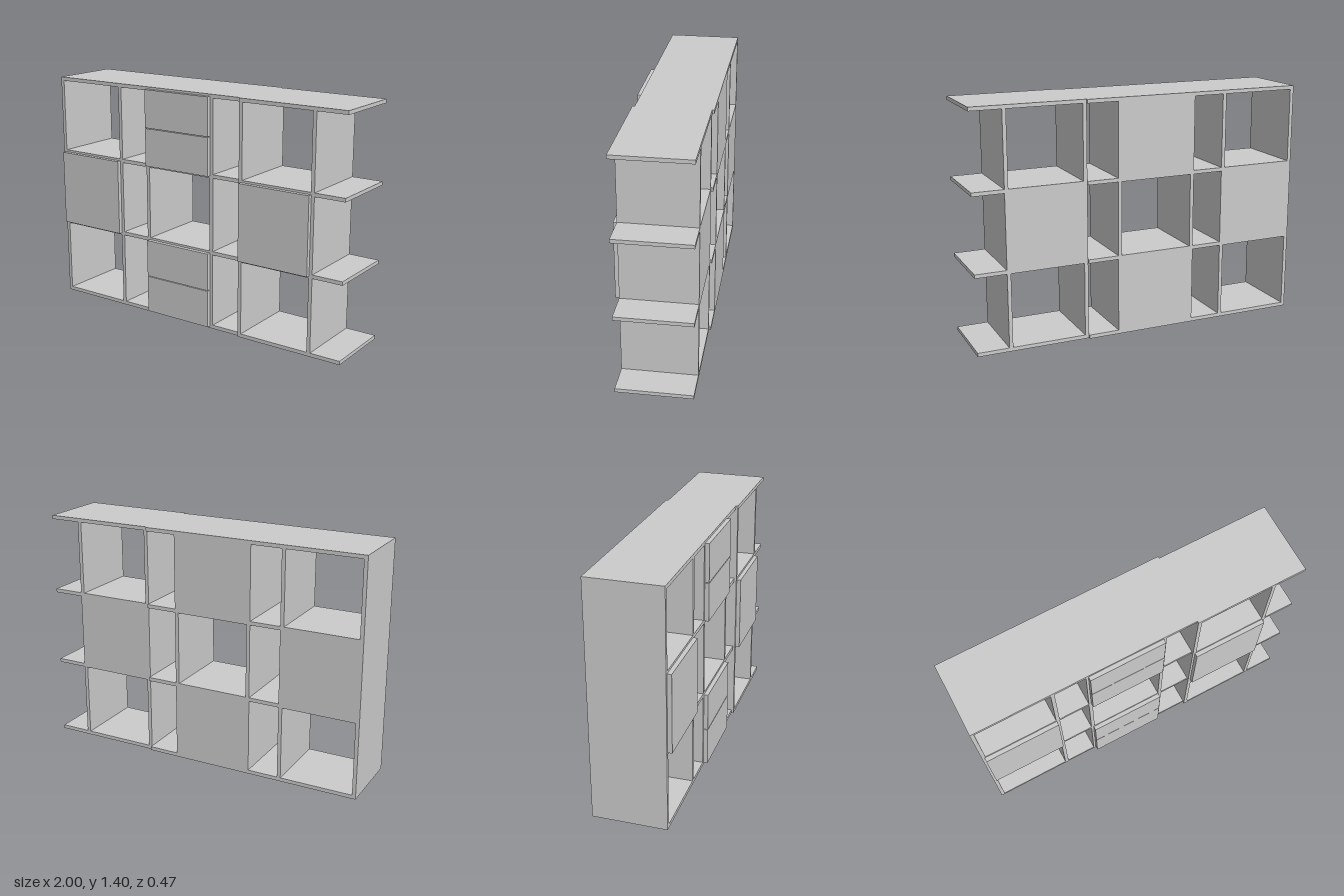
import * as THREE from 'three';

const material = new THREE.MeshStandardMaterial({ color: 0xcccccc, flatShading: true });

// Box given by its minimum and maximum on each axis
function board(parent, name, [x0, x1], [y0, y1], [z0, z1]) {
  const mesh = new THREE.Mesh(new THREE.BoxGeometry(x1 - x0, y1 - y0, z1 - z0), material);
  mesh.position.set((x0 + x1) / 2, (y0 + y1) / 2, (z0 + z1) / 2);
  mesh.name = name;
  parent.add(mesh);
}

const T = 0.022;            // board thickness
const WIDTH = 2 / 3;        // width of one bay
const HEIGHT = 1.4;
const PITCH = (HEIGHT - T) / 3;
const INNER = 0.46;         // offset of the inner upright
const FRONT = [0.014, 0.463]; // horizontal span of doors and drawers

// One bay: four shelves, two uprights per row, fronts where closed
function createBay(name, x, back, front, closedRows, drawers) {
  const bay = new THREE.Group();
  bay.name = name;
  const z = [back, front];
  for (let i = 0; i < 4; i++) {
    board(bay, 'shelf', [x, x + WIDTH], [i * PITCH, i * PITCH + T], z);
  }
  for (let row = 0; row < 3; row++) {
    const y = [row * PITCH + T, (row + 1) * PITCH];
    board(bay, 'outerUpright', [x, x + T], y, z);
    board(bay, 'innerUpright', [x + INNER, x + INNER + T], y, z);
    if (!closedRows.includes(row)) continue;

    // Back panel closing the compartment
    board(bay, 'backPanel', [x + T, x + INNER], y, [back, back + 0.012]);

    // Overlay fronts: one door, or two drawers with a narrow gap
    const fx = [x + FRONT[0], x + FRONT[1]];
    const fz = [front, front + 0.025];
    const low = row * PITCH + 0.013, high = (row + 1) * PITCH + 0.009;
    if (drawers) {
      const mid = (low + high) / 2;
      board(bay, 'lowerDrawerFront', fx, [low, mid - 0.002], fz);
      board(bay, 'upperDrawerFront', fx, [mid + 0.002, high], fz);
    } else {
      board(bay, 'door', fx, [low, high], fz);
    }
  }
  return bay;
}

export function createModel() {
  const group = new THREE.Group();
  group.name = 'shelvingUnit';
  group.add(
    createBay('rightBay', -1, -0.235, 0.197, [1], false),
    createBay('middleBay', -1 + WIDTH, -0.235, 0.197, [0, 2], true),
    createBay('leftBay', -1 + 2 * WIDTH, -0.223, 0.21, [1], false)
  );
  return group;
}
